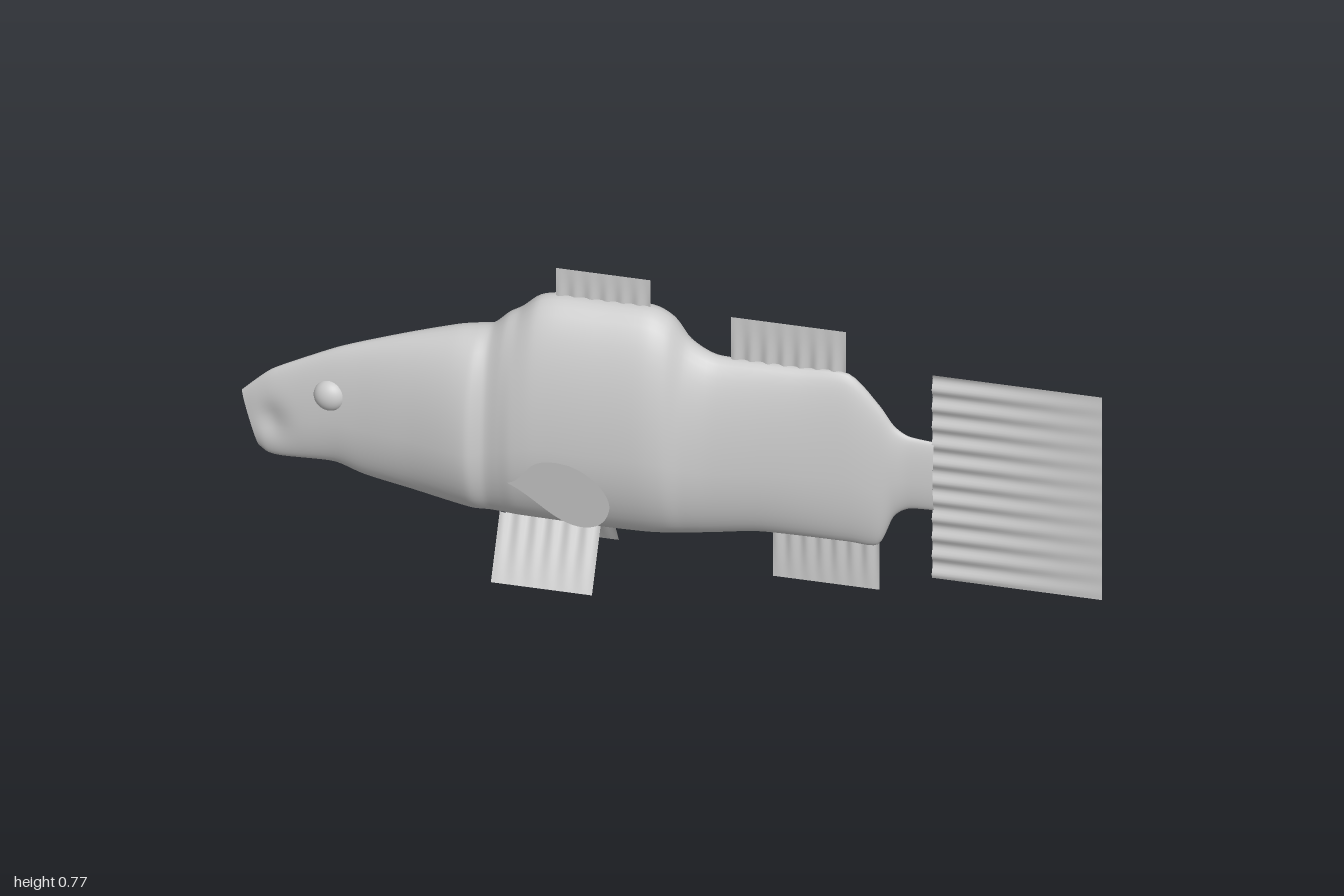
import * as THREE from 'three';

const skin = new THREE.MeshStandardMaterial({ color: 0xcccccc });
skin.name = 'pale grey skin';
const fin = new THREE.MeshStandardMaterial({ color: 0xcbcbcb, side: THREE.DoubleSide });
fin.name = 'pale grey fin';

// Body stations: x, belly height, back height, half width
const STATIONS = [
  [-1, 0.205, 0.345, 0.012], [-0.97, 0.19, 0.375, 0.02], [-0.93, 0.186, 0.41, 0.027],
  [-0.86, 0.188, 0.448, 0.034], [-0.78, 0.19, 0.488, 0.045], [-0.71, 0.168, 0.516, 0.058],
  [-0.6, 0.15, 0.555, 0.085], [-0.5, 0.135, 0.585, 0.115], [-0.45, 0.128, 0.595, 0.124],
  [-0.415, 0.125, 0.605, 0.107], [-0.38, 0.124, 0.638, 0.114], [-0.35, 0.123, 0.657, 0.122],
  [-0.31, 0.122, 0.692, 0.125], [-0.26, 0.121, 0.704, 0.125], [-0.15, 0.12, 0.705, 0.125],
  [-0.05, 0.122, 0.704, 0.124], [0, 0.126, 0.68, 0.115], [0.04, 0.13, 0.63, 0.096],
  [0.1, 0.138, 0.599, 0.081], [0.2, 0.154, 0.597, 0.068], [0.3, 0.156, 0.597, 0.057],
  [0.41, 0.156, 0.596, 0.043], [0.48, 0.158, 0.525, 0.032], [0.515, 0.235, 0.475, 0.025],
  [0.55, 0.262, 0.452, 0.019], [0.61, 0.267, 0.445, 0.016],
];

function bodyGeometry() {
  const heights = new THREE.CatmullRomCurve3(
    STATIONS.map(([x, lo, hi]) => new THREE.Vector3(x, lo, hi)), false, 'catmullrom', 0.4);
  const widths = new THREE.CatmullRomCurve3(
    STATIONS.map(([x, , , w]) => new THREE.Vector3(x, w, 0)), false, 'catmullrom', 0.4);
  const rings = 125, sides = 48, pos = [], index = [];
  for (let i = 0; i <= rings; i++) {
    const p = heights.getPoint(i / rings), w = widths.getPoint(i / rings).y;
    const mid = p.y + 0.42 * (p.z - p.y);
    const slant = 0.04 * Math.max(0, 1 - (p.x + 1) / 0.15);
    for (let j = 0; j < sides; j++) {
      const a = (j / sides) * Math.PI * 2, s = Math.sin(a);
      const y = mid + s * (s > 0 ? p.z - mid : mid - p.y);
      // the lower jaw sits back, and the cheek is hollowed behind the lips
      const x = p.x + slant * (p.z - y) / (p.z - p.y);
      const hollow = 0.55 * Math.exp(-(((x + 0.93) / 0.035) ** 2) - ((y - 0.285) / 0.045) ** 2);
      pos.push(x, y, w * Math.cos(a) * (1 - hollow));
    }
  }
  for (let i = 0; i < rings; i++) {
    for (let j = 0; j < sides; j++) {
      const a = i * sides + j, b = i * sides + (j + 1) % sides;
      index.push(a, a + sides, b, b, a + sides, b + sides);
    }
  }
  // sunken mouth and flat tail end, with their own rims for crisp edges
  const cap = (ring, x, y, flip) => {
    const base = pos.length / 3;
    pos.push(...pos.slice(ring * sides * 3, (ring + 1) * sides * 3), x, y, 0);
    for (let j = 0; j < sides; j++) {
      const a = base + j, b = base + (j + 1) % sides;
      index.push(base + sides, flip ? b : a, flip ? a : b);
    }
  };
  cap(0, -0.955, 0.28, true);
  cap(rings, 0.61, 0.356, false);
  const g = new THREE.BufferGeometry();
  g.setAttribute('position', new THREE.Float32BufferAttribute(pos, 3));
  g.setIndex(index);
  g.computeVertexNormals();
  return g;
}

// Thin fin: (u, v) runs 0..1 along and away from the root; ripples fade outwards
function ripplingFin(name, place, waves, amplitude) {
  const g = new THREE.PlaneGeometry(1, 1, waves * 8, 4);
  const p = g.attributes.position;
  for (let i = 0; i < p.count; i++) {
    const u = p.getX(i) + 0.5, v = p.getY(i) + 0.5;
    const [x, y, z] = place(u, v);
    p.setXYZ(i, x, y, z + amplitude * (1 - v) * Math.sin(u * waves * Math.PI * 2));
  }
  g.computeVertexNormals();
  const mesh = new THREE.Mesh(g, fin);
  mesh.name = name;
  return mesh;
}

const mix = THREE.MathUtils.lerp;

export function createModel() {
  const fish = new THREE.Group();
  fish.name = 'fish';

  const body = new THREE.Mesh(bodyGeometry(), skin);
  body.name = 'body';
  fish.add(body);

  // Fins on the centre line
  fish.add(
    ripplingFin('frontDorsalFin', (u, v) => [mix(-0.27, -0.05, u), mix(0.695, 0.775, v), 0], 6, 0.003),
    ripplingFin('rearDorsalFin', (u, v) => [mix(0.137, 0.405, u), mix(0.59, 0.706, v), 0], 7, 0.004),
    ripplingFin('analFin', (u, v) => [mix(0.235, 0.482, u), mix(0.165, 0.037, v), 0], 7, 0.004),
    ripplingFin('tailFin', (u, v) => [mix(0.605, 1, v), mix(0.087, 0.622, u), 0], 11, 0.005),
  );

  // Leaf outline of the side fin
  const leaf = new THREE.Shape();
  leaf.moveTo(-0.355, 0.262);
  leaf.bezierCurveTo(-0.3, 0.285, -0.32, 0.355, -0.2, 0.36);
  leaf.bezierCurveTo(-0.14, 0.358, -0.095, 0.32, -0.095, 0.285);
  leaf.bezierCurveTo(-0.1, 0.235, -0.14, 0.208, -0.19, 0.208);
  leaf.bezierCurveTo(-0.25, 0.21, -0.29, 0.25, -0.355, 0.262);

  for (const [side, s] of [['left', 1], ['right', -1]]) {
    const leafGeo = new THREE.ShapeGeometry(leaf, 12);
    const p = leafGeo.attributes.position;
    for (let i = 0; i < p.count; i++) p.setZ(i, s * (0.2 + (p.getX(i) + 0.095) * 0.33));
    leafGeo.computeVertexNormals();
    const pectoral = new THREE.Mesh(leafGeo, fin);
    pectoral.name = side + 'PectoralFin';

    const pelvic = ripplingFin(side + 'PelvicFin',
      (u, v) => [mix(-0.39, -0.155, u), mix(0.14, 0, v), s * mix(0.042, 0.124, v)], 6, 0.004);

    const eye = new THREE.Mesh(new THREE.SphereGeometry(0.038, 32, 20), skin);
    eye.name = side + 'Eye';
    eye.scale.z = 0.8;
    eye.position.set(-0.787, 0.381, s * 0.031);

    fish.add(pectoral, pelvic, eye);
  }
  return fish;
}
